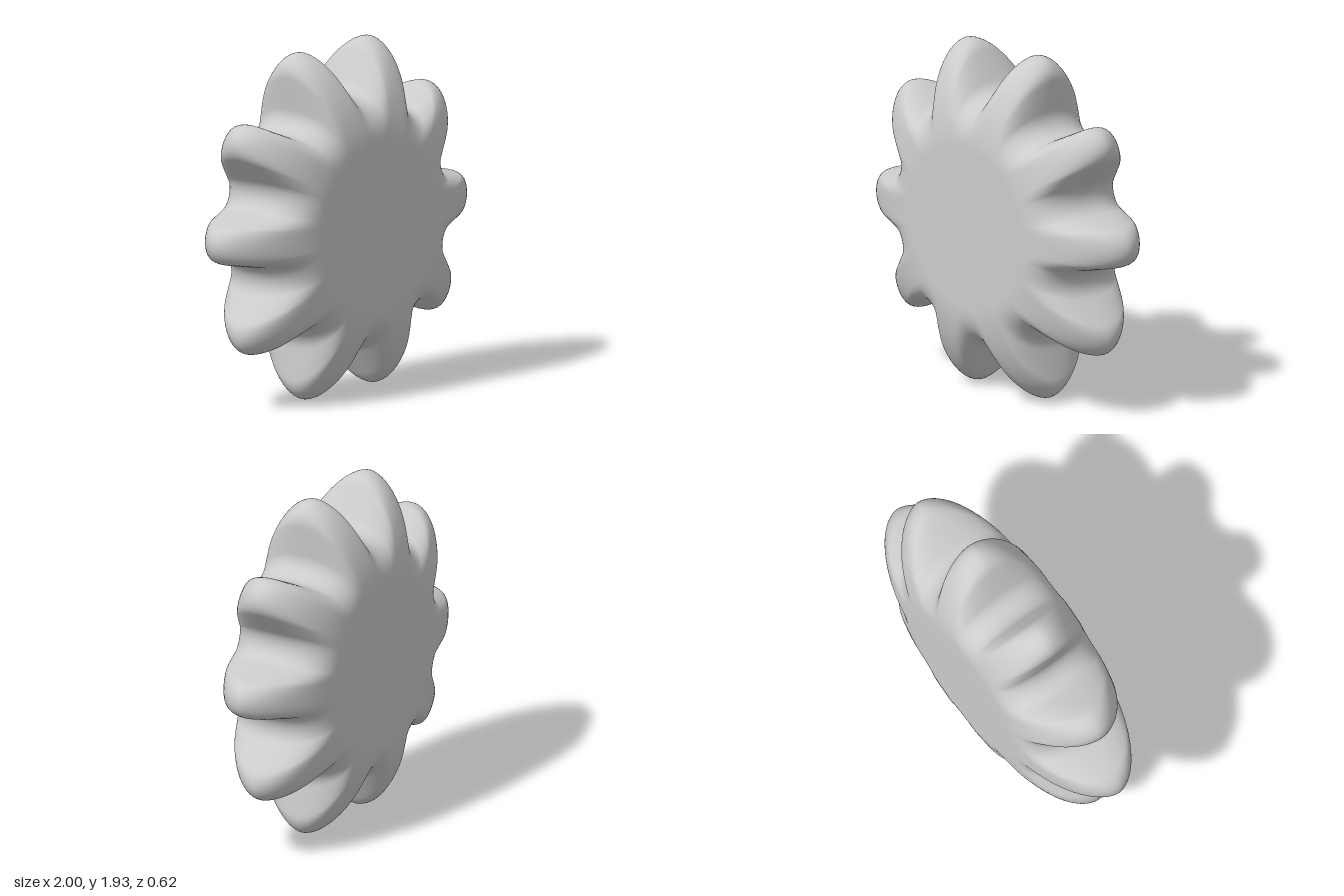
import * as THREE from 'three';

const TEETH = 10, TURN = 0.0314, CENTRE_Y = 0.965;
const HALF_DEPTH = 0.308, FACE_R = 0.45, TIP_R = 1, VALLEY_R = 0.695;

// Half a tooth in plan: round tip, straight flank, round valley
function halfTooth() {
  const pts = [];
  const arc = (cx, cy, r, a0, a1, n) => {
    for (let i = 0; i <= n; i++) {
      const a = THREE.MathUtils.degToRad(a0 + (a1 - a0) * i / n);
      pts.push(new THREE.Vector2(cx + r * Math.cos(a), cy + r * Math.sin(a)));
    }
  };
  arc(0.89, 0, 0.11, 0, 78, 9);
  const from = pts[pts.length - 1];
  const valley = [];
  for (let i = 0; i <= 7; i++) {
    const a = THREE.MathUtils.degToRad(258 - 60 * i / 7);
    valley.push(new THREE.Vector2(0.761 + 0.105 * Math.cos(a), 0.247 + 0.105 * Math.sin(a)));
  }
  for (let i = 1; i < 6; i++) pts.push(from.clone().lerp(valley[0], i / 6));
  return pts.concat(valley);
}

// Whole outline as polar points, counter-clockwise
function gearOutline() {
  const half = halfTooth().map(p => ({ a: p.angle(), r: p.length() }));
  const mirrored = half.slice(1, -1).reverse().map(p => ({ a: -p.a, r: p.r }));
  const out = [];
  for (let t = 0; t < TEETH; t++) {
    for (const p of [...mirrored, ...half]) {
      out.push({ a: p.a + TURN + t * Math.PI * 2 / TEETH, r: p.r });
    }
  }
  return out;
}

// Closed skin: flat front face, rounded rim, flat back face
function gearGeometry() {
  const outline = gearOutline(), n = outline.length;
  const pos = [], index = [], rings = [];
  const face = [0.001, 0.33, 0.67], steps = 40;
  for (const f of face) rings.push({ flat: f, side: 1 });
  for (let i = 0; i <= steps; i++) rings.push({ phi: Math.PI / 2 - Math.PI * i / steps });
  for (const f of [...face].reverse()) rings.push({ flat: f, side: -1 });

  for (const ring of rings) {
    for (const p of outline) {
      let r, z;
      if (ring.flat !== undefined) {
        r = FACE_R * ring.flat;
        z = HALF_DEPTH * ring.side;
      } else {
        // teeth taper, valleys have a fuller rounding
        const power = 2 / (2.4 - 0.65 * (p.r - VALLEY_R) / (TIP_R - VALLEY_R));
        const c = Math.max(0, Math.cos(ring.phi)), s = Math.sin(ring.phi);
        r = FACE_R + (p.r - FACE_R) * Math.pow(c, power);
        z = HALF_DEPTH * Math.sign(s) * Math.pow(Math.abs(s), power);
      }
      pos.push(r * Math.cos(p.a), r * Math.sin(p.a), z);
    }
  }
  for (let k = 0; k < rings.length - 1; k++) {
    for (let j = 0; j < n; j++) {
      const j2 = (j + 1) % n;
      const a = k * n + j, b = a + n, c = (k + 1) * n + j2, d = k * n + j2;
      index.push(a, b, c, a, c, d);
    }
  }
  const g = new THREE.BufferGeometry();
  g.setAttribute('position', new THREE.Float32BufferAttribute(pos, 3));
  g.setIndex(index);
  g.computeVertexNormals();
  return g;
}

export function createModel() {
  const group = new THREE.Group();
  group.name = 'softGear';
  const gear = new THREE.Mesh(gearGeometry(), new THREE.MeshStandardMaterial({ color: 0xcccccc }));
  gear.name = 'gearBody';
  gear.position.y = CENTRE_Y;
  group.add(gear);
  return group;
}
